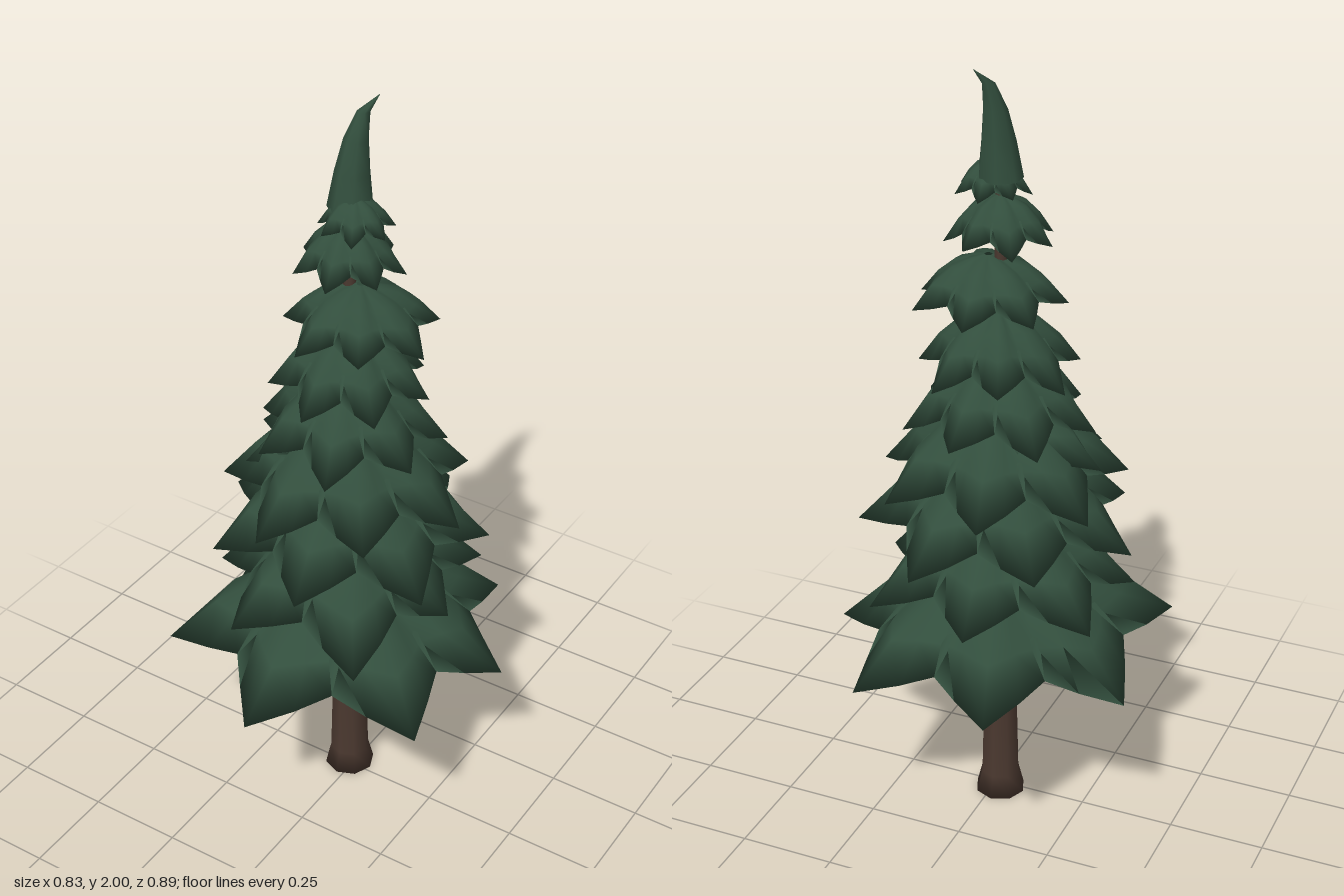
import * as THREE from 'three';

const CX = -0.018, CZ = -0.016; // trunk axis

// Indexed rings of points joined into a smooth skin
function skin(rings) {
  const n = rings[0].length, pos = [], idx = [];
  rings.forEach(ring => ring.forEach(p => pos.push(...p)));
  for (let r = 0; r < rings.length - 1; r++) {
    for (let i = 0; i < n; i++) {
      const j = (i + 1) % n, a = r * n + i, b = r * n + j;
      idx.push(a, b, a + n, b, b + n, a + n);
    }
  }
  const g = new THREE.BufferGeometry();
  g.setAttribute('position', new THREE.Float32BufferAttribute(pos, 3));
  g.setIndex(idx);
  g.computeVertexNormals();
  return g;
}

// Seven evenly turned bough tips as [angle in degrees, radius]
const even = (start, radius) => Array.from({ length: 7 }, (_, i) => [start + i * 360 / 7, radius]);

// Closed star of pointed, drooping boughs: domed above, hollow with a flat ceiling below.
// The ceiling's corners break through the creases between boughs.
function boughTier({ top, tip, tips, x = CX, z = CZ }, seed) {
  // [radius share, height share] along a bough's ridge and along a valley
  const ridge = [[0.05, 1], [0.22, 0.95], [0.48, 0.8], [0.74, 0.48], [1, 0], [0.56, 0.5], [0.06, 0.52]];
  const valley = [[0.05, 1], [0.22, 0.93], [0.44, 0.72], [0.58, 0.5], [0.72, 0.24], [0.55, 0.59], [0.06, 0.52]];
  const n = tips.length, rim = 4;
  const rings = ridge.map((rp, k) => {
    const vp = valley[k], ring = [];
    const point = (deg, radius, share, height) => {
      const a = THREE.MathUtils.degToRad(deg);
      ring.push([x + Math.cos(a) * radius * share, tip + (top - tip) * height, z + Math.sin(a) * radius * share]);
    };
    tips.forEach(([a, r], i) => {
      const [nextA, nextR] = tips[(i + 1) % n];
      const gap = (nextA - a + 360) % 360, meanR = (r + nextR) / 2;
      const droop = leaf => Math.sin(leaf * 2.7 + seed * 1.9) * 0.07 * rp[0];
      // straight-sided tips at the rim, rounded shoulders above it
      const midShare = (rp[0] + vp[0]) / 2 * (k >= rim ? 0.955 : 1);
      const midHeight = (rp[1] + vp[1]) / 2 + (k === 2 || k === 3 ? 0.05 : 0);
      point(a, r, rp[0], rp[1] + droop(i));
      point(a + gap / 4, (r + meanR) / 2, midShare, midHeight + droop(i) / 2);
      point(a + gap / 2, meanR, vp[0], vp[1]);
      point(a + gap * 3 / 4, (nextR + meanR) / 2, midShare, midHeight + droop((i + 1) % n) / 2);
    });
    return ring;
  });
  return skin(rings);
}

export function createModel() {
  const group = new THREE.Group();
  const needles = new THREE.MeshStandardMaterial({ color: 0x324e3d, side: THREE.DoubleSide });
  const bark = new THREE.MeshStandardMaterial({ color: 0x4a382f });

  // Trunk with a flared foot
  const profile = [[0, 0], [0.067, 0], [0.052, 0.06], [0.046, 0.3], [0.039, 0.55], [0.026, 1.1], [0.012, 1.75]];
  const trunk = new THREE.Mesh(
    new THREE.LatheGeometry(profile.map(p => new THREE.Vector2(...p)), 8), bark);
  trunk.position.set(CX, 0, CZ);
  trunk.name = 'trunk';
  group.add(trunk);

  // Bough tiers from the ground up; the two lowest are irregular
  const tiers = [
    { top: 0.70, tip: 0.47, tips: [[-8, 0.433], [37.5, 0.476], [92.5, 0.46], [141, 0.475], [201, 0.43], [252, 0.455], [302, 0.45]] },
    { top: 0.86, tip: 0.655, tips: [[5, 0.315], [56, 0.41], [108, 0.385], [160, 0.345], [211, 0.375], [262, 0.35], [313, 0.36]] },
    { top: 1.02, tip: 0.81, tips: even(28, 0.36) },
    { top: 1.15, tip: 0.94, tips: even(0, 0.322) },
    { top: 1.28, tip: 1.10, tips: even(20, 0.245) },
    { top: 1.40, tip: 1.24, tips: even(42, 0.205), z: -0.025 },
    { top: 1.535, tip: 1.41, tips: even(8, 0.195), x: 0.012, z: -0.02 },
    { top: 1.69, tip: 1.575, tips: even(30, 0.138) },
    { top: 1.77, tip: 1.69, tips: even(12, 0.095), x: 0.006, z: -0.005 },
    // short lopsided tier with longer boughs on one side
    { top: 1.18, tip: 1.02, tips: [[0, 0.12], [50, 0.12], [100, 0.17], [145, 0.26], [185, 0.28], [235, 0.2], [300, 0.12]] },
  ];
  tiers.forEach((t, i) => {
    const mesh = new THREE.Mesh(boughTier(t, i), needles);
    mesh.name = 'boughTier' + (i + 1);
    group.add(mesh);
  });

  // Bent crown spike: [x, y, z, radius] from tip to base
  const spike = [[0.022, 2, -0.08, 0.001], [-0.002, 1.965, -0.052, 0.016], [-0.012, 1.9, -0.036, 0.03],
    [-0.016, 1.82, -0.026, 0.043], [-0.018, 1.73, -0.02, 0.056]];
  const crown = new THREE.Mesh(skin(spike.map(([x, y, z, r]) =>
    Array.from({ length: 7 }, (_, i) => {
      const a = i / 7 * Math.PI * 2;
      return [x + Math.cos(a) * r, y, z + Math.sin(a) * r];
    }))), needles);
  crown.name = 'crownSpike';
  group.add(crown);

  return group;
}
